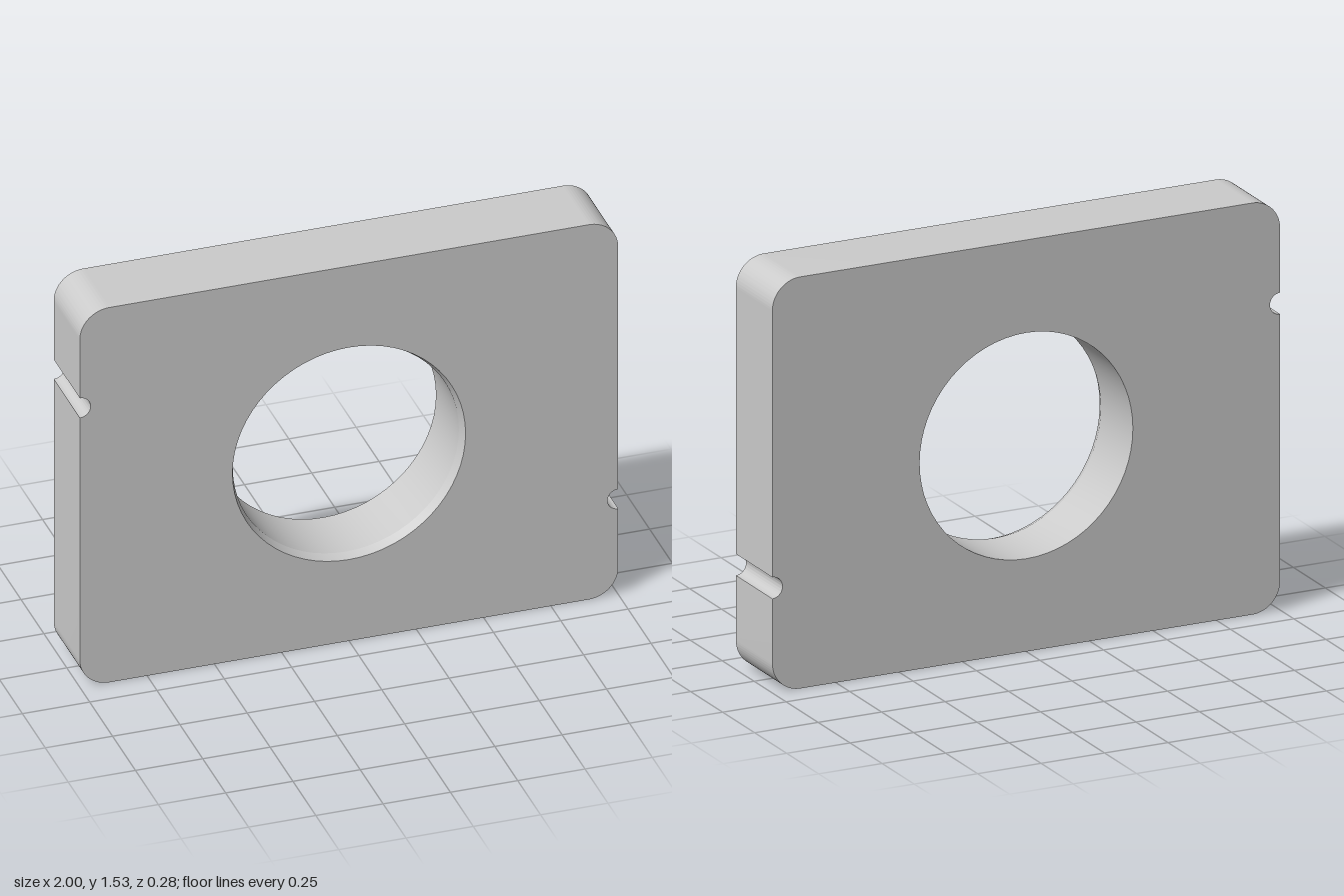
import * as THREE from 'three';
import { toCreasedNormals } from 'three/addons/utils/BufferGeometryUtils.js';

const HALF_W = 1, HEIGHT = 1.53, DEPTH = 0.285, CORNER = 0.11;
const BORE = 0.42, BORE_MOUTH = 0.433, CHAMFER_DEPTH = 0.035;
const NOTCH = 0.04, NOTCH_Y = 0.39;

// Rounded rectangle with a half-round notch in each side and a central bore
function plateShape() {
  const PI = Math.PI, cx = HALF_W - CORNER, top = HEIGHT - CORNER;
  const s = new THREE.Shape();
  s.moveTo(-cx, 0);
  s.lineTo(cx, 0);
  s.absarc(cx, CORNER, CORNER, -PI / 2, 0, false);
  s.absarc(HALF_W, NOTCH_Y, NOTCH, 1.5 * PI, 0.5 * PI, true);
  s.absarc(cx, top, CORNER, 0, PI / 2, false);
  s.absarc(-cx, top, CORNER, PI / 2, PI, false);
  s.absarc(-HALF_W, HEIGHT - NOTCH_Y, NOTCH, PI / 2, -PI / 2, true);
  s.absarc(-cx, CORNER, CORNER, PI, 1.5 * PI, false);
  const bore = new THREE.Path();
  bore.absarc(0, HEIGHT / 2, BORE, 0, 2 * PI, true);
  s.holes.push(bore);
  return s;
}

export function createModel() {
  const geometry = new THREE.ExtrudeGeometry(plateShape(), {
    depth: DEPTH, steps: 2, bevelEnabled: false, curveSegments: 32,
  });

  // Slide the middle layer to the chamfer's foot and widen the bore at the front face
  const p = geometry.attributes.position;
  for (let i = 0; i < p.count; i++) {
    const x = p.getX(i), y = p.getY(i) - HEIGHT / 2, z = p.getZ(i);
    if (Math.abs(z - DEPTH / 2) < 1e-4) p.setZ(i, DEPTH - CHAMFER_DEPTH);
    if (z > DEPTH - 1e-4 && Math.hypot(x, y) < BORE + 0.005) {
      const k = BORE_MOUTH / BORE;
      p.setXY(i, x * k, y * k + HEIGHT / 2);
    }
  }
  geometry.translate(0, 0, -DEPTH / 2);

  const plate = new THREE.Mesh(
    toCreasedNormals(geometry, 0.25),
    new THREE.MeshStandardMaterial({ color: 0xcccccc })
  );
  plate.name = 'plate';

  const group = new THREE.Group();
  group.name = 'notchedPlate';
  group.add(plate);
  return group;
}
